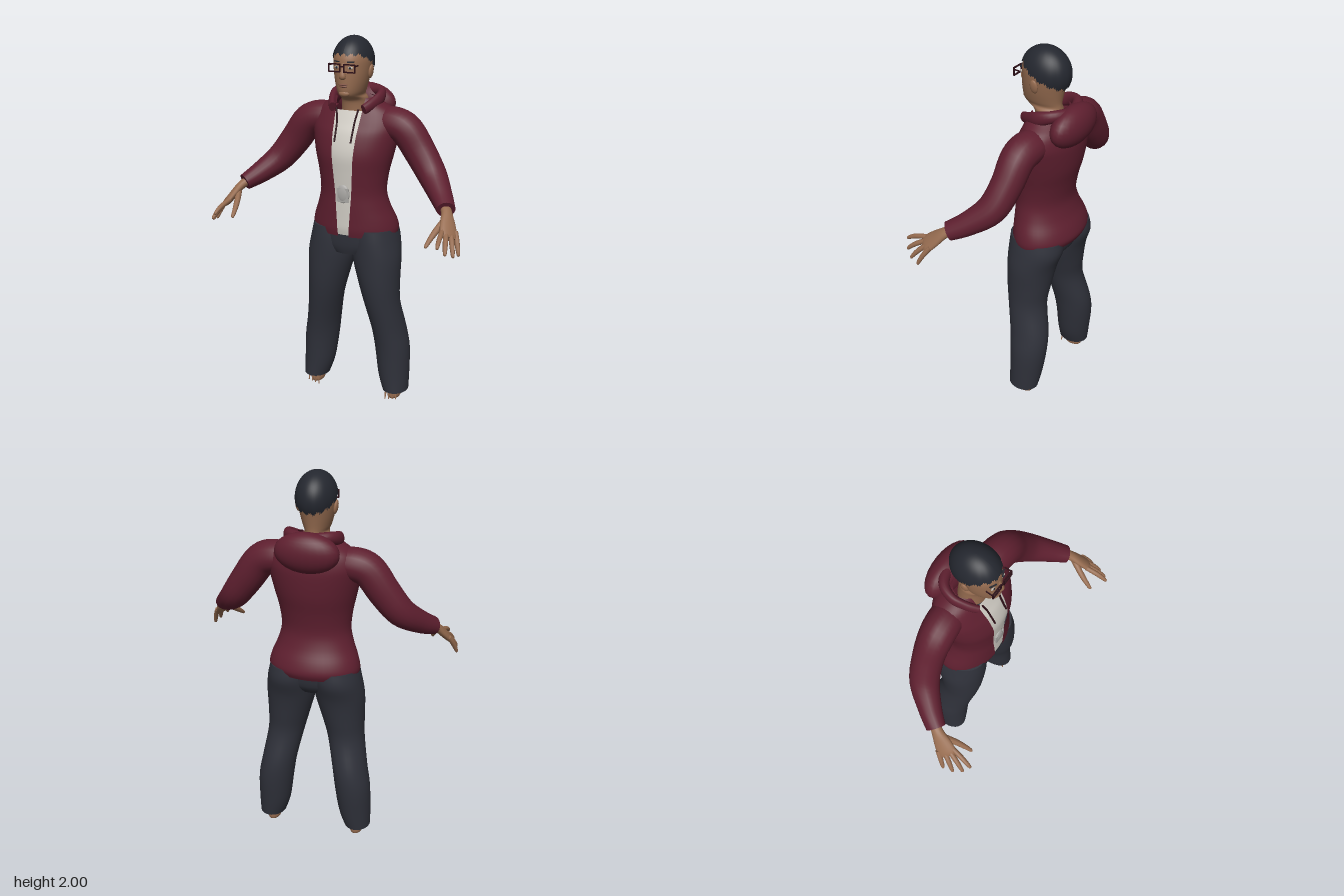
import * as THREE from 'three';

const mat = (name, color, side = THREE.FrontSide) => {
  const m = new THREE.MeshStandardMaterial({ color, side });
  m.name = name;
  return m;
};

// Smoothly resample rows of numbers (Catmull-Rom on every column)
function resample(rows, steps) {
  const out = [], last = rows.length - 1;
  for (let i = 0; i < last; i++) {
    const [a, b, c, d] = [rows[Math.max(i - 1, 0)], rows[i], rows[i + 1], rows[Math.min(i + 2, last)]];
    for (let s = 0; s < steps; s++) {
      const t = s / steps;
      out.push(b.map((p, k) => p + 0.5 * t * (c[k] - a[k] + t * (2 * a[k] - 5 * p + 4 * c[k] - d[k]
        + t * (3 * (p - c[k]) + d[k] - a[k])))));
    }
  }
  out.push(rows[last]);
  return out;
}

// Skin a list of point rings; closed rings get flat end caps
function skin(rings, closed = true) {
  const pos = [], idx = [], n = rings[0].length, span = closed ? n : n - 1;
  rings.forEach(r => r.forEach(p => pos.push(p.x, p.y, p.z)));
  for (let j = 0; j < rings.length - 1; j++) {
    for (let k = 0; k < span; k++) {
      const a = j * n + k, b = j * n + (k + 1) % n;
      idx.push(a, b, a + n, b, b + n, a + n);
    }
  }
  if (closed) {
    [rings[0], rings[rings.length - 1]].forEach((r, end) => {
      const base = pos.length / 3, c = new THREE.Vector3();
      r.forEach(p => { pos.push(p.x, p.y, p.z); c.addScaledVector(p, 1 / n); });
      pos.push(c.x, c.y, c.z);
      for (let k = 0; k < n; k++) {
        const a = base + k, b = base + (k + 1) % n;
        if (end) idx.push(base + n, a, b); else idx.push(base + n, b, a);
      }
    });
  }
  const g = new THREE.BufferGeometry();
  g.setAttribute('position', new THREE.Float32BufferAttribute(pos, 3));
  g.setIndex(idx);
  g.computeVertexNormals();
  return g;
}

// Horizontal sections, bottom to top: [y, centreX, radiusX, zFront, zBack]
function body(rows, range = null, n = 32, steps = 4) {
  return skin(resample(rows, steps).map(([y, cx, rx, zf, zb]) => {
    const [from, to] = range ? range(y, rx) : [0, Math.PI * 2];
    return Array.from({ length: range ? n + 1 : n }, (_, k) => {
      const a = from + (to - from) * k / n;
      return new THREE.Vector3(cx + rx * Math.sin(a), y, (zf + zb) / 2 + (zf - zb) / 2 * Math.cos(a));
    });
  }), !range);
}

// Oval limb along a path: [x, y, z, radius along ref, other radius]
function limb(rows, ref = [0, 0, 1], n = 18, steps = 5) {
  const R = resample(rows, steps), P = R.map(r => new THREE.Vector3(r[0], r[1], r[2]));
  return skin(R.map((r, i) => {
    const T = P[Math.min(i + 1, P.length - 1)].clone().sub(P[Math.max(i - 1, 0)]).normalize();
    const A = new THREE.Vector3(...ref);
    A.addScaledVector(T, -A.dot(T)).normalize();
    const B = T.clone().cross(A);
    return Array.from({ length: n }, (_, k) => {
      const a = k / n * Math.PI * 2;
      return P[i].clone().addScaledVector(A, r[3] * Math.cos(a)).addScaledVector(B, r[4] * Math.sin(a));
    });
  }));
}

export function createModel() {
  const root = new THREE.Group();
  const jacket = mat('jacket maroon', 0x5e1f2f, THREE.DoubleSide), shirt = mat('shirt white', 0xd0ccc4, THREE.DoubleSide);
  const denim = mat('trouser charcoal', 0x2f313a), skinTone = mat('skin', 0x966c50), hairMat = mat('hair black', 0x24272f, THREE.DoubleSide);
  const trim = mat('dark trim', 0x2b0e16), grey = mat('buckle grey', 0xaaa8a5), lip = mat('lips', 0x7d5144), eyeWhite = mat('eye white', 0xb8aea4);
  const add = (name, geo, m, x = 0, y = 0, z = 0) => {
    const mesh = new THREE.Mesh(geo, m);
    mesh.name = name;
    mesh.position.set(x, y, z);
    root.add(mesh);
    return mesh;
  };
  const box = (name, w, h, d, m, x, y, z) => add(name, new THREE.BoxGeometry(w, h, d), m, x, y, z);
  const ball = (name, rx, ry, rz, m, x, y, z) => add(name, new THREE.SphereGeometry(1, 24, 16).scale(rx, ry, rz), m, x, y, z);

  // Open jacket and the shirt strip behind its opening
  const torso = [
    [0.965, 0, 0.236, 0.045, -0.272], [1.0, 0, 0.24, 0.05, -0.285], [1.05, 0, 0.228, 0.05, -0.272],
    [1.12, 0, 0.2, 0.05, -0.24], [1.2, 0, 0.182, 0.05, -0.222], [1.3, 0, 0.192, 0.058, -0.235],
    [1.4, 0, 0.215, 0.064, -0.258], [1.5, 0, 0.235, 0.042, -0.268], [1.56, 0, 0.24, 0.015, -0.265],
    [1.62, 0, 0.21, -0.012, -0.25], [1.66, 0, 0.15, -0.025, -0.22], [1.69, 0, 0.105, -0.03, -0.19]];
  const opening = (y, rx) => Math.asin(Math.min(0.9, (0.03 + 0.044 * (y - 0.965) / 0.655) / rx));
  add('jacketBody', body(torso, (y, rx) => [opening(y, rx), Math.PI * 2 - opening(y, rx)], 44), jacket);
  add('shirtFront', body(torso.slice(0, 10).map(([y, c, rx, f, b]) => [y + 0.008, c, rx, f - 0.006, b]),
    (y, rx) => [-opening(y, rx) - 0.12, opening(y, rx) + 0.12], 12), shirt);
  ball('buckle', 0.037, 0.05, 0.014, grey, 0, 1.2, 0.046);
  box('buckleBar', 0.064, 0.075, 0.008, grey, 0, 1.195, 0.052);

  // Hood resting on the back, with its collar running round the neck
  ball('hood', 0.165, 0.104, 0.078, jacket, 0, 1.635, -0.243).rotation.x = -0.08;
  const half = [[0.088, 1.64, -0.012, 0.026, 0.018], [0.112, 1.66, -0.06, 0.03, 0.02],
    [0.128, 1.685, -0.13, 0.036, 0.022], [0.095, 1.705, -0.2, 0.03, 0.026]];
  const flipped = half.map(([x, ...r]) => [-x, ...r]);
  add('collar', limb([...half, [0, 1.7, -0.235, 0.03, 0.03], ...flipped.reverse()], [0, 1, 0]), jacket);

  // Trousers: hip section, then each leg below
  add('hips', body([[0.86, 0, 0.14, 0.02, -0.2], [0.91, 0, 0.225, 0.032, -0.235], [1.0, 0, 0.23, 0.038, -0.25]]), denim);
  const leg = [
    [0.055, 0.245, 0.07, -0.035, -0.205], [0.15, 0.23, 0.086, -0.035, -0.22], [0.3, 0.217, 0.095, -0.03, -0.238],
    [0.42, 0.198, 0.093, -0.015, -0.235], [0.58, 0.168, 0.098, 0.015, -0.2], [0.7, 0.15, 0.113, 0.03, -0.21],
    [0.83, 0.133, 0.131, 0.035, -0.232], [0.93, 0.124, 0.125, 0.035, -0.265], [1.0, 0.118, 0.115, 0.03, -0.26]];

  for (const s of [1, -1]) {
    const side = s > 0 ? 'left' : 'right';
    const m = rows => rows.map(([x, ...r]) => [x * s, ...r]);
    add(side + 'TrouserLeg', body(leg.map(([y, cx, ...r]) => [y, cx * s, ...r])), denim);

    // Bare foot, mostly hidden by the trouser hem
    add(side + 'Foot', body([[0.006, 0.24 * s, 0.03, -0.07, -0.168], [0.025, 0.24 * s, 0.036, -0.062, -0.175],
      [0.09, 0.243 * s, 0.036, -0.07, -0.172]], null, 16), skinTone);
    for (let i = 0; i < 4; i++) {
      add(side + 'Toe', limb(m([[0.21 + i * 0.02, 0.07, -0.07, 0.007, 0.007],
        [0.208 + i * 0.021, 0.002 + i * 0.004, -0.058, 0.003, 0.003]]), [0, 0, 1], 8, 2), skinTone);
    }

    // Sleeve
    add(side + 'Sleeve', limb(m([[0.12, 1.56, -0.13, 0.08, 0.07], [0.2, 1.562, -0.126, 0.088, 0.084],
      [0.28, 1.532, -0.12, 0.086, 0.086], [0.36, 1.425, -0.115, 0.078, 0.083], [0.44, 1.32, -0.085, 0.075, 0.074],
      [0.52, 1.245, 0.0, 0.06, 0.058], [0.575, 1.202, 0.075, 0.05, 0.044]])), jacket);

    // Hand: palm, four fingers and thumb
    const across = [0.06 * s, -0.03, -0.075];
    add(side + 'Palm', limb(m([[0.55, 1.22, 0.04, 0.028, 0.026], [0.585, 1.19, 0.09, 0.03, 0.023],
      [0.608, 1.15, 0.135, 0.044, 0.021], [0.628, 1.112, 0.175, 0.05, 0.018], [0.636, 1.098, 0.19, 0.042, 0.011]]), across), skinTone);
    const fingers = [
      [[0.604, 1.122, 0.212], [0.62, 1.082, 0.315]], [[0.622, 1.11, 0.198], [0.652, 1.045, 0.29]],
      [[0.64, 1.102, 0.175], [0.678, 1.024, 0.245]], [[0.655, 1.1, 0.145], [0.688, 1.015, 0.192]]];
    fingers.forEach(([a, b]) => {
      const at = (t, lift, r) => [...a.map((v, i) => v + (b[i] - v) * t + (i === 1 ? lift : 0)), r, r];
      add(side + 'Finger', limb(m([at(-0.2, 0, 0.013), at(0.35, 0.008, 0.013), at(0.75, 0.006, 0.011),
        at(0.95, 0, 0.008), at(1, 0, 0.003)]), across, 10, 3), skinTone);
    });
    add(side + 'Thumb', limb(m([[0.588, 1.165, 0.12, 0.018, 0.018], [0.566, 1.125, 0.175, 0.017, 0.016],
      [0.551, 1.09, 0.225, 0.013, 0.013], [0.544, 1.065, 0.26, 0.009, 0.009], [0.543, 1.06, 0.268, 0.003, 0.003]]), across, 10, 3), skinTone);

    // Drawstring hanging from the collar
    add(side + 'Drawstring', limb(m([[0.062, 1.64, -0.005, 0.005, 0.005], [0.05, 1.58, 0.012, 0.005, 0.005],
      [0.047, 1.52, 0.036, 0.005, 0.005], [0.046, 1.475, 0.055, 0.005, 0.005]]), [0, 0, 1], 8), trim);

    // Ear, eye, brow
    ball(side + 'Ear', 0.011, 0.036, 0.022, skinTone, 0.097 * s, 1.825, -0.078).rotation.z = -0.15 * s;
    ball(side + 'Eye', 0.015, 0.007, 0.006, eyeWhite, 0.037 * s, 1.853, 0.037);
    ball(side + 'Iris', 0.006, 0.006, 0.004, hairMat, 0.037 * s, 1.853, 0.041);
    box(side + 'Brow', 0.036, 0.005, 0.008, hairMat, 0.038 * s, 1.882, 0.037).rotation.y = 0.4 * s;

    // Spectacle rim
    for (const e of [-1, 1]) {
      box(side + 'RimBar', 0.062, 0.006, 0.007, trim, 0.041 * s, 1.853 + e * 0.019, 0.06);
      box(side + 'RimPost', 0.006, 0.042, 0.007, trim, (0.041 + e * 0.03) * s, 1.853, 0.06);
    }
    box(side + 'Hinge', 0.005, 0.006, 0.04, trim, 0.072 * s, 1.865, 0.042);
  }
  box('spectacleBridge', 0.024, 0.006, 0.007, trim, 0, 1.86, 0.061);

  // Neck and head
  add('head', body([
    [1.56, 0, 0.075, -0.035, -0.18], [1.65, 0, 0.07, -0.032, -0.172], [1.685, 0, 0.068, -0.018, -0.17],
    [1.705, 0, 0.058, 0.032, -0.168], [1.73, 0, 0.068, 0.045, -0.168], [1.78, 0, 0.082, 0.048, -0.177],
    [1.84, 0, 0.092, 0.047, -0.19], [1.9, 0, 0.094, 0.042, -0.2], [1.95, 0, 0.073, 0.01, -0.17],
    [1.985, 0, 0.03, -0.04, -0.12]]), skinTone);
  add('nose', limb([[0, 1.875, 0.04, 0.006, 0.009], [0, 1.84, 0.049, 0.011, 0.011], [0, 1.81, 0.053, 0.016, 0.018],
    [0, 1.798, 0.048, 0.008, 0.013]], [0, 0, 1], 12), skinTone);
  ball('upperLip', 0.025, 0.005, 0.01, lip, 0, 1.768, 0.044);
  ball('lowerLip', 0.021, 0.006, 0.01, lip, 0, 1.759, 0.043);
  ball('chin', 0.03, 0.018, 0.018, skinTone, 0, 1.722, 0.03);

  // Short hair: an oval cap whose lower edge dips from forehead to nape
  const hair = new THREE.SphereGeometry(1, 64, 20), p = hair.attributes.position, uv = hair.attributes.uv;
  for (let i = 0; i < p.count; i++) {
    const a = uv.getX(i) * Math.PI * 2, k = Math.round(uv.getX(i) * 64);
    const front = Math.cos(a);
    const edge = (front > 0 ? 1.868 + 0.045 * Math.min(1, front * 1.4) : 1.868 + 0.062 * front) + (k % 4 < 2 ? 0.005 : -0.005);
    const phi = (1 - uv.getY(i)) * Math.acos((edge - 1.87) / 0.13);
    p.setXYZ(i, 0.103 * Math.sin(phi) * Math.sin(a), 1.87 + 0.13 * Math.cos(phi), -0.08 + 0.133 * Math.sin(phi) * front);
  }
  hair.computeVertexNormals();
  add('hair', hair, hairMat);
  return root;
}
